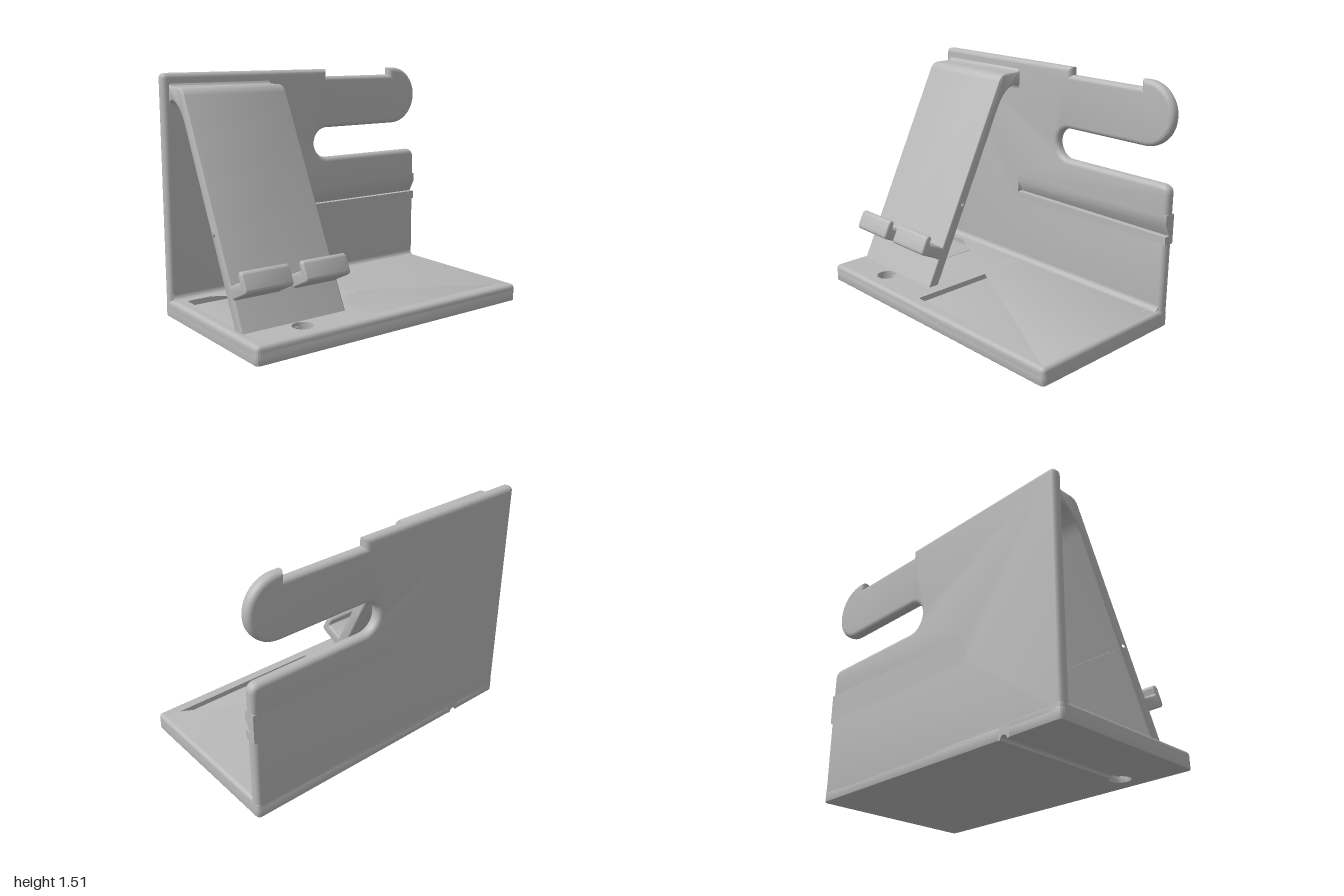
import * as THREE from 'three';
import { toCreasedNormals } from 'three/addons/utils/BufferGeometryUtils.js';

const grey = new THREE.MeshStandardMaterial({ color: 0xb8b8b8 });
grey.name = 'matte grey';

// Adds points to a path: 2 numbers draw a line, 4 numbers a quadratic curve.
function trace(path, points) {
  points.forEach((p, i) => {
    if (i === 0) path.moveTo(...p);
    else if (p.length === 2) path.lineTo(...p);
    else path.quadraticCurveTo(...p);
  });
  return path;
}

// Rectangle with rounded corners.
function roundRect(path, x0, y0, x1, y1, r) {
  return trace(path, [
    [x0 + r, y0], [x1 - r, y0], [x1, y0, x1, y0 + r], [x1, y1 - r], [x1, y1, x1 - r, y1],
    [x0 + r, y1], [x0, y1, x0, y1 - r], [x0, y0 + r], [x0, y0, x0 + r, y0],
  ]);
}

// Extrudes a shape from depth a to depth b, with rounded rims inside that range.
function extrude(shape, a, b, bevel = 0) {
  const geo = new THREE.ExtrudeGeometry(shape, {
    depth: b - a - 2 * bevel, curveSegments: 20, bevelEnabled: bevel > 0,
    bevelSize: bevel, bevelThickness: bevel, bevelOffset: -bevel, bevelSegments: 4,
  });
  return toCreasedNormals(geo.translate(0, 0, a + bevel), 0.6);
}

// Shape drawn in (x, -z), raised along y.
const extrudeUp = (shape, a, b, bevel) => extrude(shape, a, b, bevel).rotateX(-Math.PI / 2);

// Profile given as [z, y] points, swept along x.
function sweepX(points, a, b, bevel, hole) {
  const flip = (pts) => pts.map((p) => p.map((v, i) => (i % 2 ? v : -v)));
  const shape = trace(new THREE.Shape(), flip(points));
  if (hole) shape.holes.push(trace(new THREE.Path(), flip(hole)));
  return extrude(shape, a, b, bevel).rotateY(Math.PI / 2);
}

export function createModel() {
  const model = new THREE.Group();
  const add = (name, geo) => {
    const mesh = new THREE.Mesh(geo, grey);
    mesh.name = name;
    model.add(mesh);
  };
  const holeX = -0.605, holeZ = 0.405, holeR = 0.065;

  // Base bottom, with a keyhole opening for the cable
  const bottom = trace(new THREE.Shape(), [
    [-0.97, -0.555], [0.97, -0.555], [1, -0.555, 1, -0.525], [1, 0.525], [1, 0.555, 0.97, 0.555],
    [holeX + 0.03, 0.555], [holeX + 0.03, -0.347],
  ]);
  bottom.absarc(holeX, -holeZ, holeR, 1.093, 2.049, true);
  bottom.lineTo(holeX - 0.03, 0.555);
  bottom.lineTo(-0.97, 0.555);
  bottom.quadraticCurveTo(-1, 0.555, -1, 0.525);
  bottom.lineTo(-1, -0.525);
  bottom.quadraticCurveTo(-1, -0.555, -0.97, -0.555);
  add('baseBottom', extrudeUp(bottom, 0, 0.075, 0.005));

  // Arched cable channel running to the back
  const arch = trace(new THREE.Shape(), [[-0.04, 0], [-0.025, 0]]);
  arch.absarc(0, 0, 0.025, Math.PI, 0, true);
  arch.lineTo(0.04, 0);
  arch.lineTo(0.04, 0.07);
  arch.lineTo(-0.04, 0.07);
  add('cableChannel', extrude(arch, -0.555, 0.345).translate(holeX, 0, 0));

  // Rounded rim of the base
  const rim = roundRect(new THREE.Shape(), -1, -0.555, 1, 0.555, 0.03);
  rim.holes.push(roundRect(new THREE.Path(), -0.92, -0.5, 0.92, 0.5, 0.02));
  add('baseRim', extrudeUp(rim, 0.03, 0.11, 0.025));

  // Base top with two sunken trays and the cable hole
  const top = roundRect(new THREE.Shape(), -0.96, -0.528, 0.96, 0.528, 0.01);
  top.holes.push(
    roundRect(new THREE.Path(), -0.165, -0.48, 0.92, 0.41, 0.02),
    roundRect(new THREE.Path(), -0.92, -0.2, -0.262, 0.41, 0.02),
    new THREE.Path().absarc(holeX, -holeZ, holeR, 0, Math.PI * 2, false),
  );
  add('baseTop', extrudeUp(top, 0.04, 0.11));

  // Back plate with the open strap slot and a gap for the grooved insert
  const plate = trace(new THREE.Shape(), [
    [-1, 0.03], [1, 0.03], [1, 0.58], [-0.28, 0.58], [-0.28, 0.69], [1, 0.69],
    [1, 0.85], [1, 0.912, 0.94, 0.912], [0.21, 0.912],
  ]);
  plate.absarc(0.21, 1.015, 0.103, -Math.PI / 2, Math.PI / 2, true);
  plate.lineTo(0.8, 1.118);
  plate.absarc(0.8, 1.3165, 0.1985, -Math.PI / 2, Math.PI / 2, false);
  [[0.76, 1.515], [0.76, 1.465], [0.21, 1.465], [0.21, 1.515], [-0.965, 1.515]]
    .forEach((p) => plate.lineTo(...p));
  plate.quadraticCurveTo(-1, 1.515, -1, 1.48);
  plate.lineTo(-1, 0.03);
  add('backPlate', extrude(plate, -0.555, -0.48, 0.03));

  // Insert carrying the wedge-shaped groove, and its closed left end
  add('grooveInsert', sweepX([
    [-0.555, 0.54], [-0.48, 0.54], [-0.48, 0.595], [-0.52, 0.595],
    [-0.48, 0.67], [-0.48, 0.73], [-0.555, 0.73],
  ], -0.245, 1));
  add('grooveEnd', new THREE.BoxGeometry(0.1, 0.19, 0.075).translate(-0.295, 0.635, -0.5175));

  // Fillet between base and back plate
  add('baseFillet', sweepX([
    [-0.5, 0.1], [-0.445, 0.1], [-0.445, 0.11], [-0.48, 0.11, -0.48, 0.145], [-0.5, 0.145],
  ], -0.98, 0.98));

  // Sloping phone rest, with a small cross bore
  add('phoneRest', sweepX([
    [0.345, 0.08], [-0.295, 1.39], [-0.318, 1.433, -0.36, 1.433], [-0.45, 1.433],
    [-0.48, 1.433, -0.482, 1.463], [-0.51, 1.463], [-0.51, 1.31], [-0.48, 1.315],
    [-0.478, 1.35, -0.445, 1.35], [-0.35, 1.34, -0.285, 1.21], [0.265, 0.08],
  ], -0.96, -0.245, 0.012, [[0.06, 0.594], [0.06, 0.634], [0.014, 0.634], [0.014, 0.594]]));

  // Pair of hooked ledges holding the phone
  const ledge = [
    [0.18, 0.343], [0.208, 0.356], [0.303, 0.4], [0.316, 0.405, 0.311, 0.415], [0.299, 0.44],
    [0.297, 0.456, 0.313, 0.463], [0.333, 0.465, 0.342, 0.45], [0.38, 0.374],
    [0.386, 0.354, 0.37, 0.345], [0.255, 0.29], [0.24, 0.283, 0.246, 0.265], [0.2, 0.265],
  ];
  add('ledgeRight', sweepX(ledge, -0.96, -0.645, 0.012));
  add('ledgeLeft', sweepX(ledge, -0.56, -0.245, 0.012));

  return model;
}
